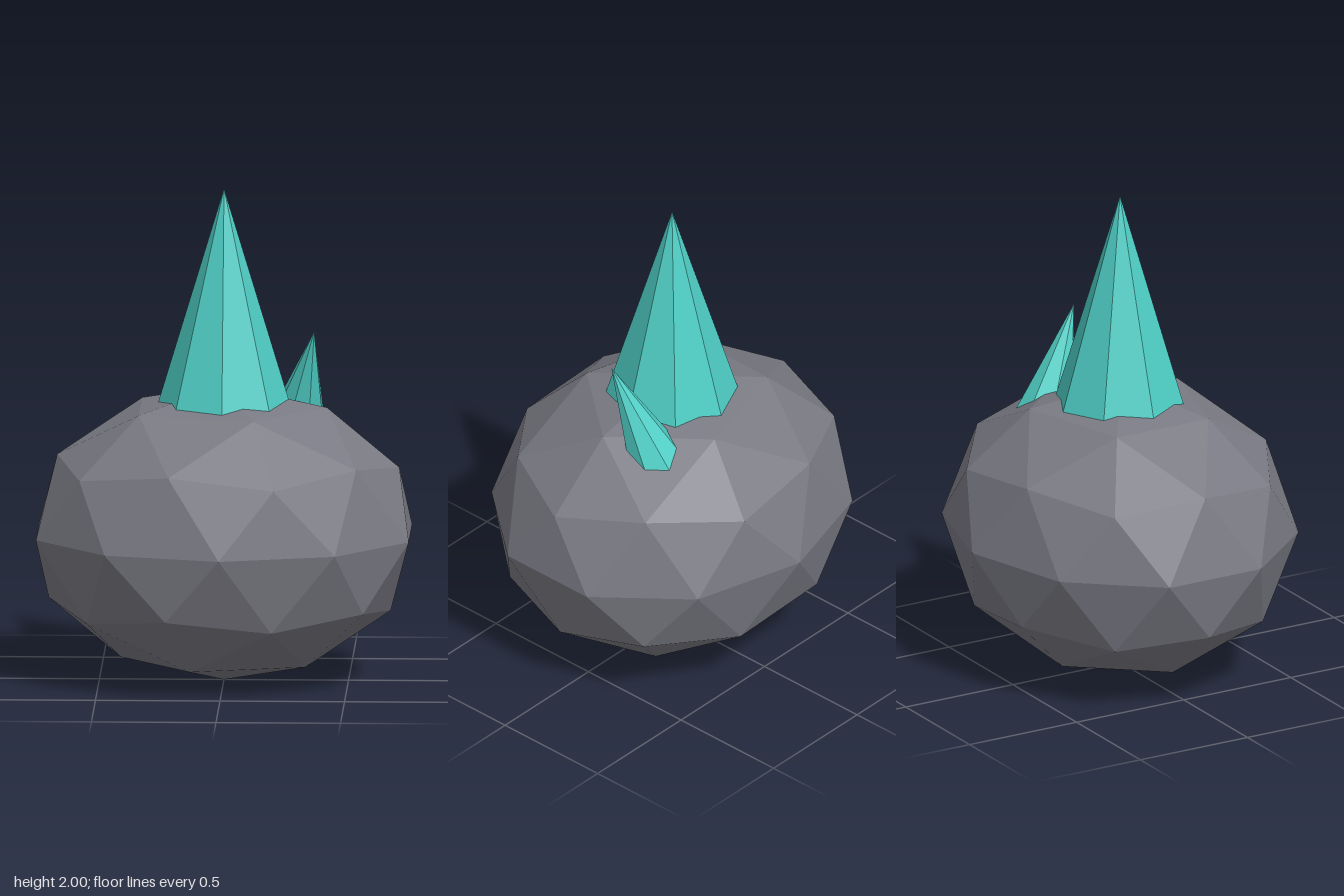
import * as THREE from 'three';

const crystalMaterial = new THREE.MeshStandardMaterial({ color: 0x4ecdc4, flatShading: true });
const rockMaterial = new THREE.MeshStandardMaterial({ color: 0x7a7a84, flatShading: true });

// Eight-sided crystal spike whose origin is its tip
function makeCrystal(name, radius, length, turn = 0) {
  const geometry = new THREE.ConeGeometry(radius, length, 8);
  geometry.translate(0, -length / 2, 0).rotateY(turn);
  const mesh = new THREE.Mesh(geometry, crystalMaterial);
  mesh.name = name;
  return mesh;
}

// Faceted boulder: icosphere stood on one of its vertices, then squashed
function makeRock() {
  const geometry = new THREE.IcosahedronGeometry(1, 1);
  geometry.rotateZ(-Math.atan(2 / (1 + Math.sqrt(5))));
  geometry.scale(0.787, 0.6, 0.69);
  geometry.computeVertexNormals();
  const mesh = new THREE.Mesh(geometry, rockMaterial);
  mesh.name = 'rock';
  mesh.position.y = 0.6;
  return mesh;
}

export function createModel() {
  const group = new THREE.Group();
  group.name = 'crystalRock';

  // Upright main crystal, its base buried in the rock
  const mainCrystal = makeCrystal('mainCrystal', 0.303, 1);
  mainCrystal.position.set(0, 2, 0);

  // Small crystal leaning forward from behind the main one
  const sideCrystal = makeCrystal('sideCrystal', 0.147, 0.55, Math.PI / 8);
  sideCrystal.position.set(0.362, 1.42, 0);
  sideCrystal.rotation.set(0.4, 0, -0.165);

  group.add(makeRock(), mainCrystal, sideCrystal);
  return group;
}
